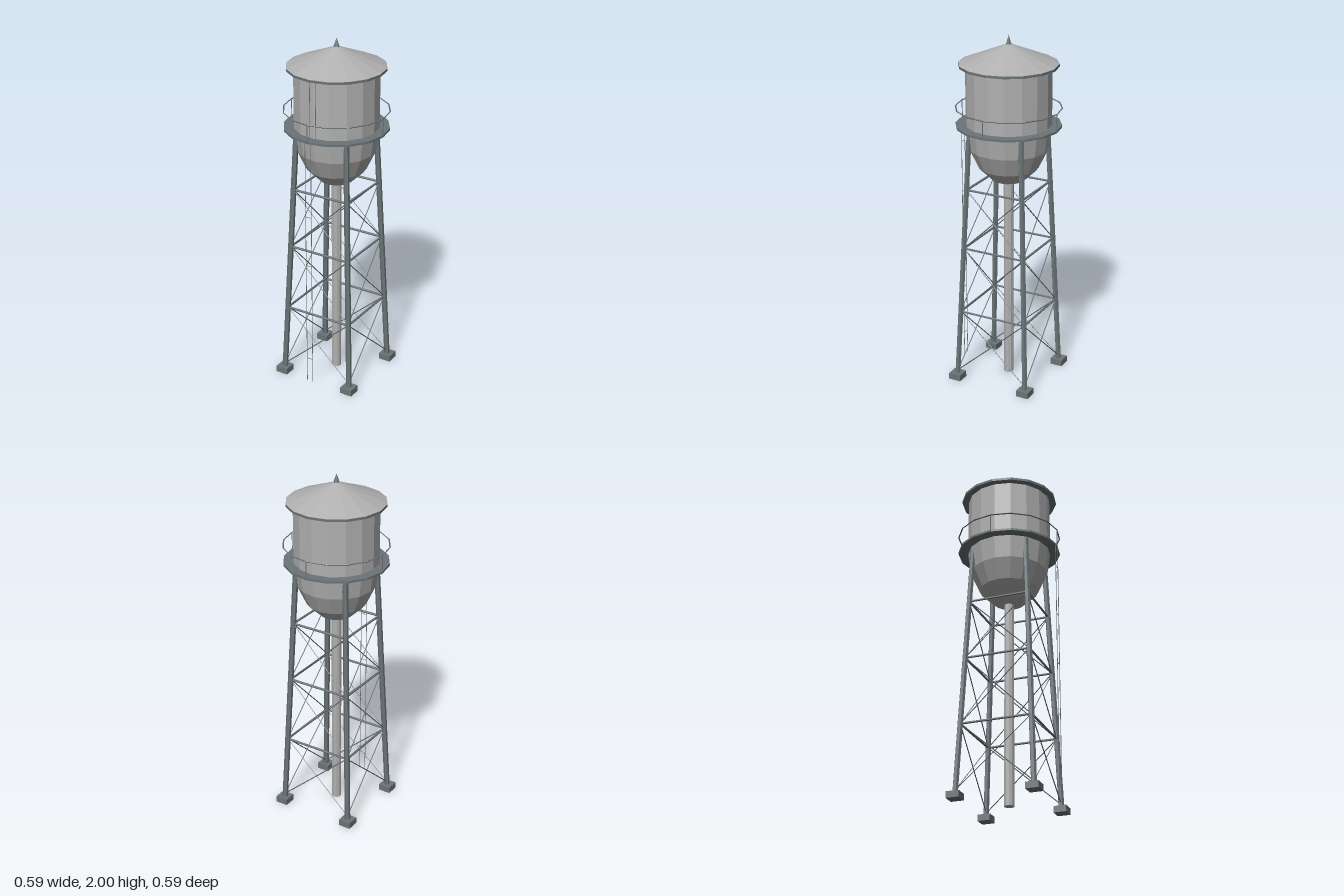
import * as THREE from 'three';

const SIDES = 16;

export function createModel() {
  const model = new THREE.Group();
  model.name = 'waterTower';
  const mat = (name, color) => {
    const m = new THREE.MeshStandardMaterial({ color });
    m.name = name;
    m.flatShading = true;
    return m;
  };
  const paleMetal = mat('pale metal', 0xb0b0b0);
  const steel = mat('dark steel', 0x6b7477);

  const add = (name, geometry, material, x = 0, y = 0, z = 0, parent = model) => {
    const mesh = new THREE.Mesh(geometry, material);
    mesh.name = name;
    mesh.position.set(x, y, z);
    parent.add(mesh);
    return mesh;
  };
  const group = (name) => {
    const g = new THREE.Group();
    g.name = name;
    model.add(g);
    return g;
  };
  // Round bar between two points
  const bar = (name, a, b, r, parent, sides = 6) => {
    const dir = b.clone().sub(a);
    const mesh = add(name, new THREE.CylinderGeometry(r, r, dir.length(), sides), steel, 0, 0, 0, parent);
    mesh.position.copy(a).add(b).multiplyScalar(0.5);
    mesh.quaternion.setFromUnitVectors(new THREE.Vector3(0, 1, 0), dir.normalize());
    return mesh;
  };
  const v = (x, y, z) => new THREE.Vector3(x, y, z);

  // Tank: straight wall over a rounded bowl
  const profile = [];
  for (let i = 0; i <= 4; i++) {
    const a = (i / 4) * Math.PI / 2;
    profile.push(new THREE.Vector2(0.235 * Math.sin(a), 1.5 - 0.335 * Math.cos(a)));
  }
  profile.push(new THREE.Vector2(0.235, 1.84));
  add('tank', new THREE.LatheGeometry(profile, SIDES), paleMetal);

  // Roof
  add('roofRim', new THREE.CylinderGeometry(0.272, 0.272, 0.014, SIDES), steel, 0, 1.84, 0);
  add('roof', new THREE.ConeGeometry(0.272, 0.11, SIDES), paleMetal, 0, 1.902, 0);
  add('finial', new THREE.ConeGeometry(0.018, 0.055, 6), steel, 0, 1.9725, 0);

  // Central riser pipe
  add('riserPipe', new THREE.CylinderGeometry(0.028, 0.028, 1.19, 10), paleMetal, 0, 0.595, 0);

  // Walkway with railing
  const walkway = group('walkway');
  add('deck', new THREE.CylinderGeometry(0.29, 0.29, 0.012, SIDES), steel, 0, 1.503, 0, walkway);
  add('handrail', new THREE.TorusGeometry(0.29, 0.004, 4, SIDES), steel, 0, 1.603, 0, walkway).rotation.x = Math.PI / 2;
  for (let i = 0; i < 4; i++) {
    const a = i * Math.PI / 2;
    const x = 0.29 * Math.cos(a), z = 0.29 * Math.sin(a);
    bar('railPost', v(x, 1.5, z), v(x, 1.603, z), 0.003, walkway, 4);
  }

  // Legs on footings, leaning inwards
  const legOffset = (y) => 0.218 - 0.041 * y;
  const corners = [[1, 1], [1, -1], [-1, -1], [-1, 1]];
  const at = ([sx, sz], y) => v(sx * legOffset(y), y, sz * legOffset(y));
  const frame = group('legFrame');
  for (const c of corners) {
    add('footing', new THREE.BoxGeometry(0.072, 0.036, 0.072), steel, c[0] * 0.218, 0.018, c[1] * 0.218, frame);
    bar('leg', at(c, 0.02), at(c, 1.49), 0.016, frame);
  }

  // Struts and crossed tie rods on every side
  const levels = [0.05, 0.42, 0.805, 1.15];
  corners.forEach((c, i) => {
    const d = corners[(i + 1) % 4];
    for (let k = 1; k < levels.length; k++) {
      bar('strut', at(c, levels[k]), at(d, levels[k]), 0.0065, frame);
      bar('tieRod', at(c, levels[k - 1]), at(d, levels[k]), 0.003, frame, 4);
      bar('tieRod', at(d, levels[k - 1]), at(c, levels[k]), 0.003, frame, 4);
    }
  });

  // Ladder to the walkway, then up the tank wall
  const ladder = group('ladder');
  for (const x of [-0.018, 0.018]) {
    bar('lowerLadderRail', v(x, 0.04, 0.286), v(x, 1.5, 0.286), 0.002, ladder, 4);
    bar('upperLadderRail', v(x, 1.5, 0.237), v(x, 1.84, 0.237), 0.002, ladder, 4);
  }
  for (let i = 0; i < 5; i++) {
    const y = 0.185 + i * 0.295;
    bar('rung', v(-0.018, y, 0.286), v(0.018, y, 0.286), 0.002, ladder, 4);
  }
  return model;
}
